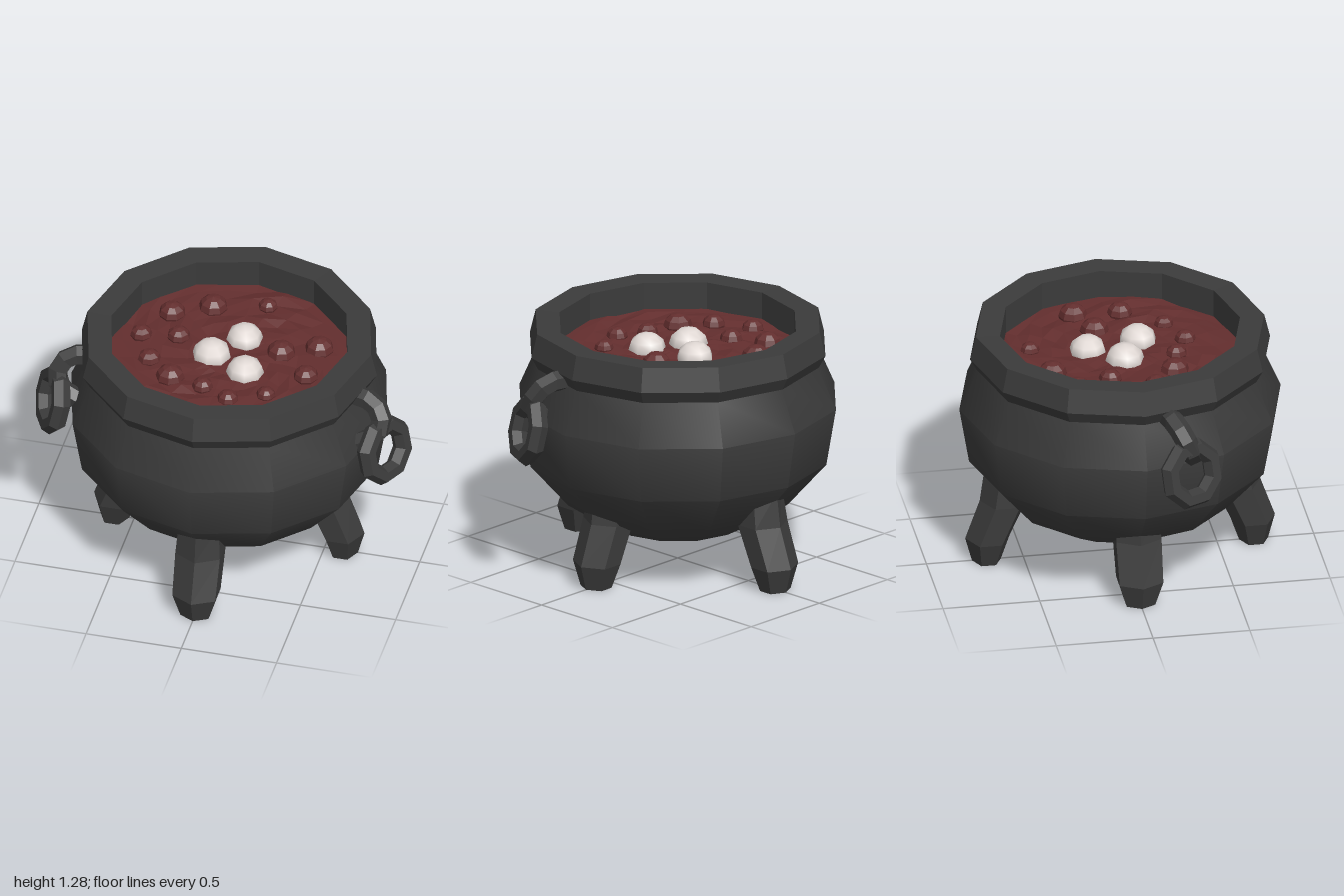
import * as THREE from 'three';
import { toCreasedNormals } from 'three/addons/utils/BufferGeometryUtils.js';

const iron = new THREE.MeshStandardMaterial({ color: 0x3b3b3b });
iron.name = 'cast iron';
const soup = new THREE.MeshStandardMaterial({ color: 0x632e2e });
soup.name = 'dark red brew';
const pale = new THREE.MeshStandardMaterial({ color: 0xe0d8d4 });
pale.name = 'pale white';

function add(parent, name, geometry, material) {
  const mesh = new THREE.Mesh(geometry, material);
  mesh.name = name;
  parent.add(mesh);
  return mesh;
}

// Faceted copy of a geometry
function faceted(geometry) {
  const g = geometry.index ? geometry.toNonIndexed() : geometry;
  g.computeVertexNormals();
  return g;
}

const lathe = (pts) =>
  new THREE.LatheGeometry(pts.map(([r, y]) => new THREE.Vector2(r, y)), 12);

// Leg cross-sections from foot to top: y, distance from axis, half depth, half width
const LEG = [
  [0, 0.69, 0.075, 0.085],
  [0.13, 0.685, 0.115, 0.13],
  [0.34, 0.6, 0.125, 0.135],
  [0.52, 0.57, 0.13, 0.12],
];

function legGeometry(shift) {
  const g = new THREE.CylinderGeometry(1, 1, 3, 6, 3);
  const p = g.attributes.position;
  for (let i = 0; i < p.count; i++) {
    const [y, r, depth, width] = LEG[Math.round(p.getY(i) + 1.5)];
    p.setXYZ(i, p.getX(i) * width, y, r + shift + p.getZ(i) * depth);
  }
  return faceted(g);
}

// Uneven disc of liquid
function soupGeometry() {
  const g = new THREE.RingGeometry(0.001, 0.63, 24, 9);
  g.rotateX(-Math.PI / 2);
  const p = g.attributes.position;
  for (let i = 0; i < p.count; i++) {
    const x = p.getX(i), z = p.getZ(i);
    const wave = Math.sin(x * 23 + z * 9) * Math.cos(z * 27 - x * 7);
    p.setY(i, 1.13 + 0.012 * wave);
  }
  return faceted(g);
}

// Rounded blob half sunk in the liquid
function blob(parent, name, [x, z, r], material, smooth) {
  const g = new THREE.SphereGeometry(r, 8, 6);
  const mesh = add(parent, name, smooth ? g : faceted(g), material);
  mesh.scale.y = 0.85;
  mesh.rotation.y = x * 9;
  mesh.position.set(x, 1.135, z);
}

function handle(side) {
  const group = new THREE.Group();
  group.name = side > 0 ? 'leftHandle' : 'rightHandle';
  // Hook bent from the rim back to the belly
  const path = new THREE.CatmullRomCurve3([
    [0.7, 1.11, 0.13], [0.8, 1.1, 0.16], [0.85, 1.03, 0.2],
    [0.83, 0.95, 0.23], [0.74, 0.9, 0.24],
  ].map(([x, y, z]) => new THREE.Vector3(x * side, y, z)));
  add(group, 'hook', faceted(new THREE.TubeGeometry(path, 6, 0.055, 6)), iron);
  // Loose ring hanging on the hook
  const ring = add(group, 'ring', faceted(new THREE.TorusGeometry(0.138, 0.05, 6, 8)), iron);
  ring.rotation.set(-0.22, side * 1.1, Math.PI / 8, 'YXZ');
  ring.position.set(side * 0.87, 0.86, 0.22);
  return group;
}

export function createModel() {
  const model = new THREE.Group();
  model.name = 'cauldron';

  // Pot belly
  const belly = lathe([[0, 0.15], [0.35, 0.21], [0.58, 0.34], [0.78, 0.57],
    [0.83, 0.87], [0.735, 1.09], [0.73, 1.12]]);
  add(model, 'belly', toCreasedNormals(belly, 0.6), iron);

  // Rim collar with inner wall
  add(model, 'rim', faceted(lathe([[0.7, 1.09], [0.74, 1.09], [0.775, 1.155],
    [0.745, 1.28], [0.62, 1.275], [0.62, 1.05]])), iron);

  // Four stubby legs, the side pair set slightly closer in
  for (let i = 0; i < 4; i++) {
    const leg = add(model, 'leg', legGeometry(i % 2 ? -0.09 : 0), iron);
    leg.rotation.y = (i * Math.PI) / 2;
  }

  model.add(handle(1), handle(-1));

  // Brew with bubbles and pale lumps: x, z, radius
  add(model, 'brew', soupGeometry(), soup);
  const bubbles = [
    [-0.18, -0.38, 0.075], [0.09, -0.45, 0.05], [-0.37, -0.28, 0.07],
    [-0.48, -0.07, 0.057], [-0.29, -0.1, 0.06], [-0.39, 0.12, 0.06],
    [-0.25, 0.24, 0.075], [-0.07, 0.28, 0.055], [0.08, 0.35, 0.055],
    [0.26, 0.27, 0.05], [0.42, 0.07, 0.065], [0.43, -0.17, 0.075],
    [0.25, -0.09, 0.075],
  ];
  for (const b of bubbles) blob(model, 'bubble', b, soup, false);
  const lumps = [[0.04, -0.16, 0.095], [-0.09, 0.01, 0.1], [0.11, 0.11, 0.097]];
  for (const l of lumps) blob(model, 'paleLump', l, pale, true);

  return model;
}
